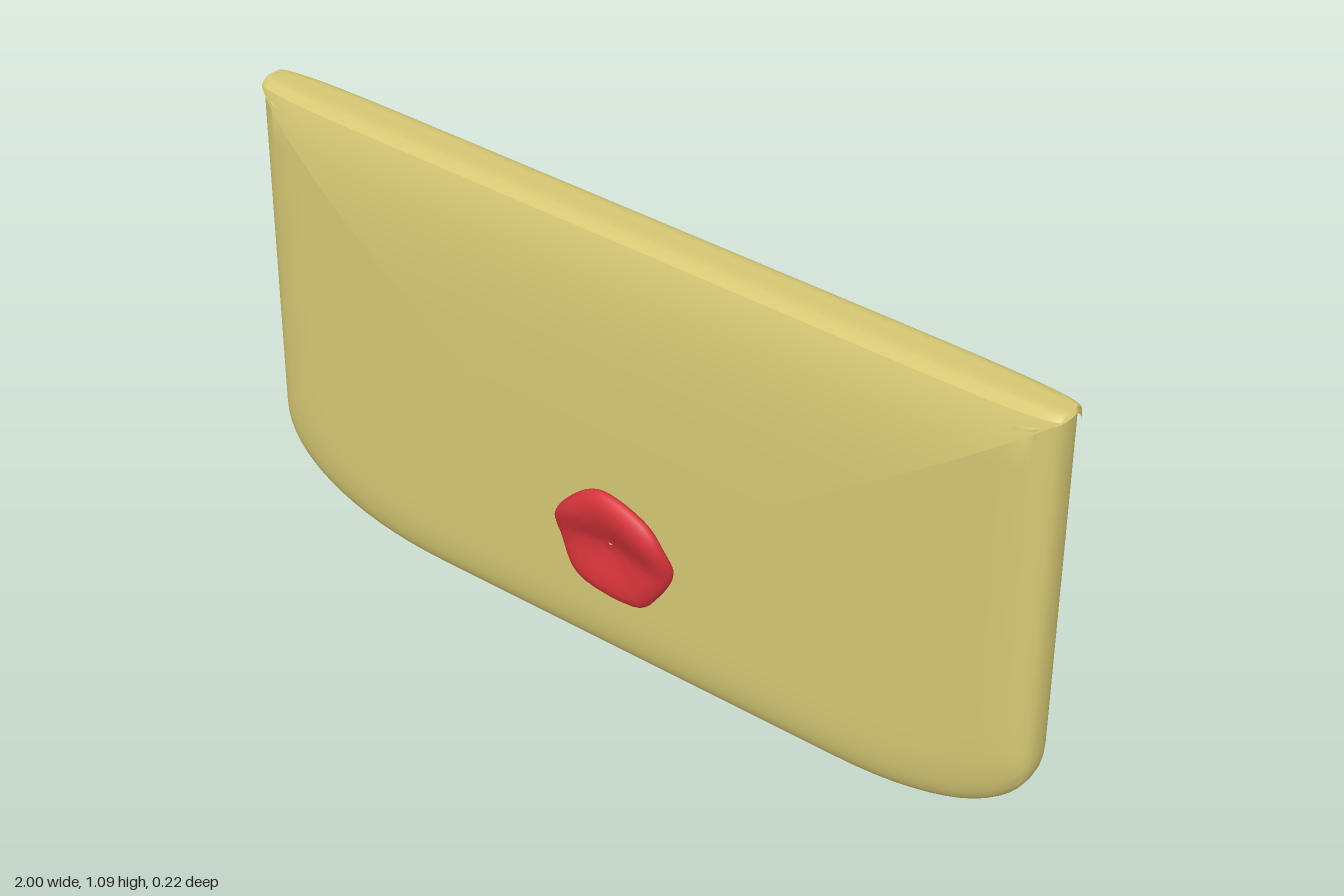
import * as THREE from 'three';
import { toCreasedNormals } from 'three/addons/utils/BufferGeometryUtils.js';

// Skin a list of equally long rows of [x, y, z] points.
function skin(rows, closed, crease) {
  const n = rows[0].length, index = [];
  for (let i = 0; i < rows.length - 1; i++) {
    for (let j = 0; j < (closed ? n : n - 1); j++) {
      const k = (j + 1) % n;
      const a = i * n + j, b = i * n + k, c = (i + 1) * n + k, d = (i + 1) * n + j;
      index.push(a, d, c, a, c, b);
    }
  }
  const g = new THREE.BufferGeometry();
  g.setAttribute('position', new THREE.Float32BufferAttribute(rows.flat(2), 3));
  g.setIndex(index);
  return toCreasedNormals(g, crease);
}

// Pocket outline, counter-clockwise: square top corners, soft elliptical bottom ones.
function pocketOutline() {
  const pts = [], H = 1.072, a = 0.46, b = 0.25, e = 2 / 2.2, N = 16;
  for (let i = 0; i < N; i++) pts.push([1 - 2 * i / N, H]);
  for (let i = 0; i < 8; i++) pts.push([-1, H - (H - b) * i / 8]);
  const corner = [];
  for (let i = 0; i <= N; i++) {
    const t = i / N * Math.PI / 2;
    corner.push([1 - a + a * Math.cos(t) ** e, b - b * Math.sin(t) ** e]);
  }
  corner.forEach(([x, y]) => pts.push([-x, y]));
  for (let i = 1; i < 8; i++) pts.push([(a - 1) * (1 - i / 4), 0]);
  corner.reverse().forEach(([x, y]) => pts.push([x, y]));
  for (let i = 1; i < 8; i++) pts.push([1, b + (H - b) * i / 8]);
  return pts;
}

// Flat pocket with rounded edges, lofted from the front face to the back face.
function pocketGeometry() {
  const outline = pocketOutline(), rows = [];
  const ring = (inset, scale, z) => rows.push(outline.map(([x, y]) => {
    const low = 0.17 * inset, high = 1.072 - 0.045 * inset;
    const py = low + (high - low) * y / 1.072;
    return [x * (1 - 0.15 * inset) * scale, 0.54 + (py - 0.54) * scale, z];
  }));
  const mid = -0.038, half = 0.066, M = 20;
  for (const s of [0, 0.5, 0.9]) ring(1, s, mid + half);
  for (let i = 0; i <= M; i++) {
    const t = i / M * Math.PI, c = Math.cos(t);
    ring(1 - Math.max(0, Math.sin(t)) ** 0.7, 1, mid + half * Math.sign(c) * Math.abs(c) ** 0.7);
  }
  for (const s of [0.9, 0.5, 0]) ring(1, s, mid - half);
  return skin(rows, true, 0.7);
}

// Flap: wraps over the top edge and runs down the front to a point.
function flapGeometry() {
  const rows = [], cols = [], N = 48, M = 24, mid = -0.038;
  for (let j = 0; j <= N; j++) cols.push(Math.sin((j / N - 0.5) * Math.PI));
  const taper = x => 0.55 + 0.45 * Math.sqrt(Math.max(0, 1 - Math.abs(x) ** 10));
  const wrap = new THREE.CatmullRomCurve3([
    [1.05, -0.106], [1.073, -0.1], [1.087, -0.082], [1.09, -0.05], [1.09, -0.005], [1.08, 0.02],
  ].map(([y, z]) => new THREE.Vector3(0, y, z)));
  for (let i = 0; i < 16; i++) {
    const p = wrap.getPoint(i / 16);
    rows.push(cols.map(x => [x, p.y, mid + (p.z - mid) * taper(x)]));
  }
  for (let i = 0; i <= M; i++) {
    rows.push(cols.map(x => {
      const drop = (i / M) ** 1.4 * 0.72 * (1 - Math.abs(x));
      const z = 0.02 + 0.053 * (1 - Math.exp(-drop / 0.12));
      return [x, 1.08 - drop, mid + (z - mid) * taper(x)];
    }));
  }
  // thin edge turned back to the pocket
  rows.push(rows[rows.length - 1].map(([x, y, z]) => [x, y, Math.min(z, 0.024)]));
  return skin(rows, false, 0.7);
}

// Wax seal: irregular rounded blob with a pinched middle, bent over the flap tip.
function sealGeometry() {
  const edge = new THREE.CatmullRomCurve3([
    [0.16, 0.01], [0.135, 0.08], [0.09, 0.118], [-0.02, 0.145], [-0.085, 0.105],
    [-0.145, 0.02], [-0.135, -0.035], [-0.09, -0.122], [0.075, -0.136], [0.115, -0.095], [0.155, -0.025],
  ].map(([x, y]) => new THREE.Vector3(x, y, 0)), true).getPoints(60).slice(0, 60);
  const profile = [
    [0, 0.002], [0.2, 0.006], [0.45, 0.014], [0.65, 0.02], [0.8, 0.021], [0.91, 0.017], [0.98, 0.008],
    [1, -0.001], [0.97, -0.009], [0.88, -0.015], [0.6, -0.019], [0, -0.021],
  ];
  const rows = profile.map(([s, h]) => edge.map(p => {
    const y = 0.36 + p.y * s;
    return [p.x * s, y, 0.064 + 0.024 * THREE.MathUtils.smoothstep(y, 0.33, 0.44) + h];
  }));
  return skin(rows, true, 1.2);
}

export function createModel() {
  const group = new THREE.Group();
  group.name = 'envelope';
  const paper = new THREE.MeshStandardMaterial({ color: 0xd6c874, side: THREE.DoubleSide });
  const wax = new THREE.MeshStandardMaterial({ color: 0xd8343a });
  const add = (name, geometry, material) => {
    const mesh = new THREE.Mesh(geometry, material);
    mesh.name = name;
    group.add(mesh);
  };
  add('pocket', pocketGeometry(), paper);
  add('flap', flapGeometry(), paper);
  add('waxSeal', sealGeometry(), wax);
  return group;
}
